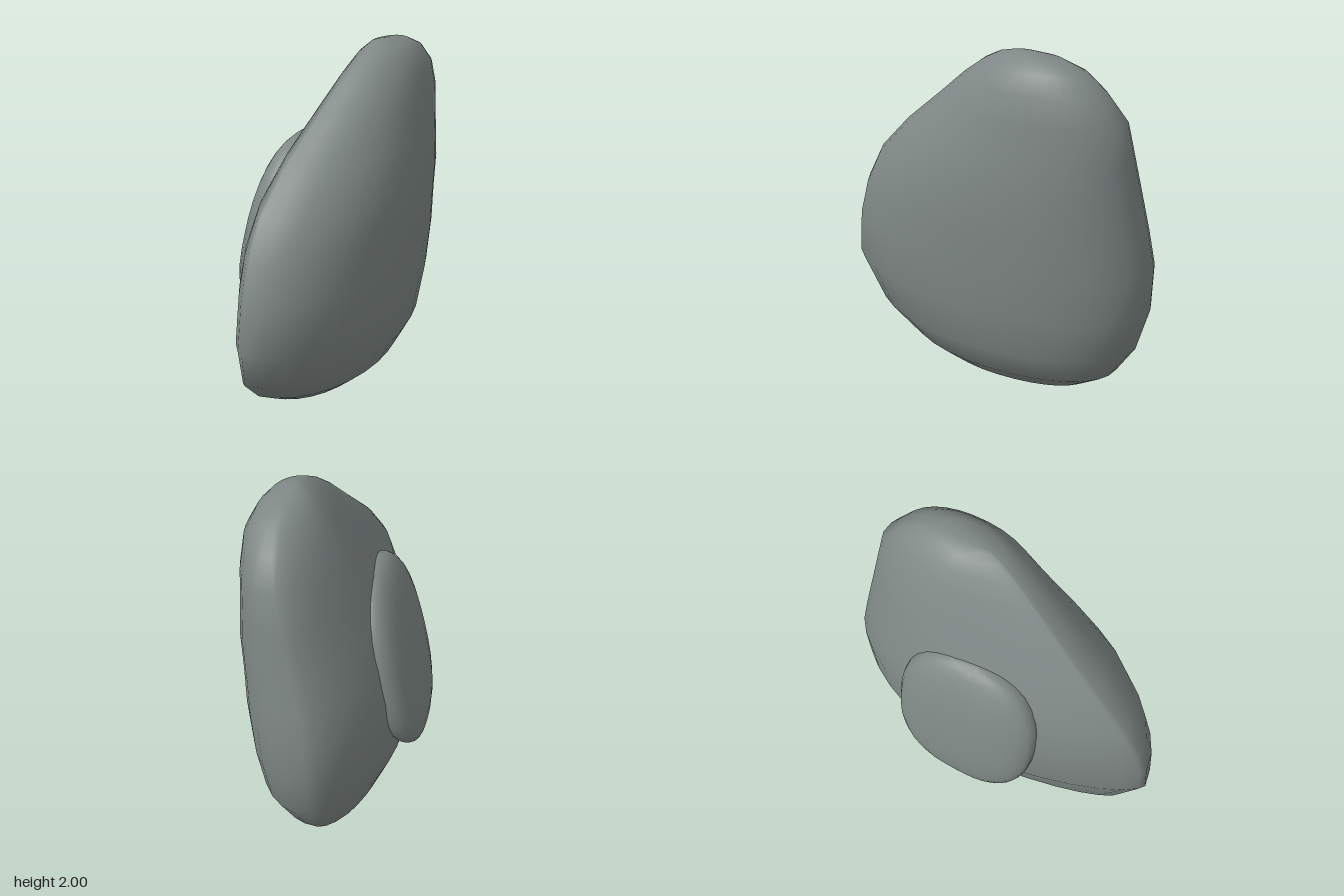
import * as THREE from 'three';

const stone = new THREE.MeshStandardMaterial({ color: 0x7f8886 });
stone.name = 'stone grey';

// Horizontal slices: y, left x, right x, front z, back z, x of front tip, x of back tip
const slices = [
  [0.0, -0.10, -0.01, 0.08, -0.20, -0.06, -0.05],
  [0.05, -0.18, 0.08, 0.25, -0.40, -0.13, -0.04],
  [0.12, -0.21, 0.20, 0.44, -0.58, -0.14, -0.02],
  [0.23, -0.26, 0.32, 0.62, -0.74, -0.14, 0.0],
  [0.40, -0.34, 0.41, 0.81, -0.85, -0.12, 0.01],
  [0.65, -0.39, 0.45, 0.93, -0.92, -0.07, 0.01],
  [0.90, -0.38, 0.47, 0.90, -0.93, -0.06, 0.02],
  [1.10, -0.34, 0.475, 0.84, -0.90, -0.06, 0.05],
  [1.30, -0.27, 0.48, 0.73, -0.87, -0.05, 0.09],
  [1.50, -0.18, 0.455, 0.53, -0.84, -0.01, 0.13],
  [1.70, -0.08, 0.43, 0.28, -0.81, 0.06, 0.17],
  [1.84, 0.0, 0.41, 0.11, -0.71, 0.11, 0.20],
  [1.93, 0.06, 0.36, -0.02, -0.61, 0.15, 0.21],
  [1.98, 0.12, 0.31, -0.12, -0.48, 0.18, 0.21],
  [2.0, 0.17, 0.23, -0.20, -0.32, 0.2, 0.2],
];

const signedPow = (v, p) => Math.sign(v) * Math.pow(Math.abs(v), p);

// Each slice is four superellipse quarters, sharper towards the front-left ridge
function bodyGeometry(sides = 32) {
  const pos = [], index = [];
  for (const [y, xl, xr, zf, zb, xf, xb] of slices) {
    const zc = zb + (zf - zb) * 0.46;
    for (let j = 0; j < sides; j++) {
      const a = (j / sides) * Math.PI * 2, c = Math.cos(a), s = Math.sin(a);
      const front = s >= 0, right = c >= 0;
      const n = front ? (right ? 1.95 : 1.45) : (right ? 2.25 : 1.7);
      const u = signedPow(c, 2 / n), v = signedPow(s, 2 / n);
      const tip = front ? xf : xb;
      pos.push(tip + Math.abs(u) * ((right ? xr : xl) - tip), y, zc + Math.abs(v) * ((front ? zf : zb) - zc));
    }
  }
  const last = (slices.length - 1) * sides, bottom = pos.length / 3, top = bottom + 1;
  pos.push(-0.05, 0, -0.06, 0.2, 2, -0.26);
  for (let j = 0; j < sides; j++) {
    const k = (j + 1) % sides;
    for (let r = 0; r < last; r += sides) {
      index.push(r + j, r + sides + j, r + k, r + k, r + sides + j, r + sides + k);
    }
    index.push(bottom, j, k, top, last + k, last + j);
  }
  const g = new THREE.BufferGeometry();
  g.setAttribute('position', new THREE.Float32BufferAttribute(pos, 3));
  g.setIndex(index);
  g.computeVertexNormals();
  return g;
}

// Rounded slab leaning along the flank
function bulgeGeometry() {
  const g = new THREE.SphereGeometry(1, 28, 18);
  const p = g.attributes.position;
  for (let i = 0; i < p.count; i++) {
    const x = p.getX(i), y = p.getY(i), z = p.getZ(i);
    const n = 2.5;
    const k = Math.pow(Math.abs(x) ** n + Math.abs(y) ** n + Math.abs(z) ** n, -1 / n);
    const dy = y * k * 0.51;
    p.setXYZ(i, -0.295 + x * k * 0.135 + dy * 0.24, 0.99 + dy, -0.08 + z * k * 0.41);
  }
  g.computeVertexNormals();
  return g;
}

export function createModel() {
  const rock = new THREE.Group();
  rock.name = 'rock';
  const body = new THREE.Mesh(bodyGeometry(), stone);
  body.name = 'boulderBody';
  const bulge = new THREE.Mesh(bulgeGeometry(), stone);
  bulge.name = 'sideBulge';
  rock.add(body, bulge);
  return rock;
}
